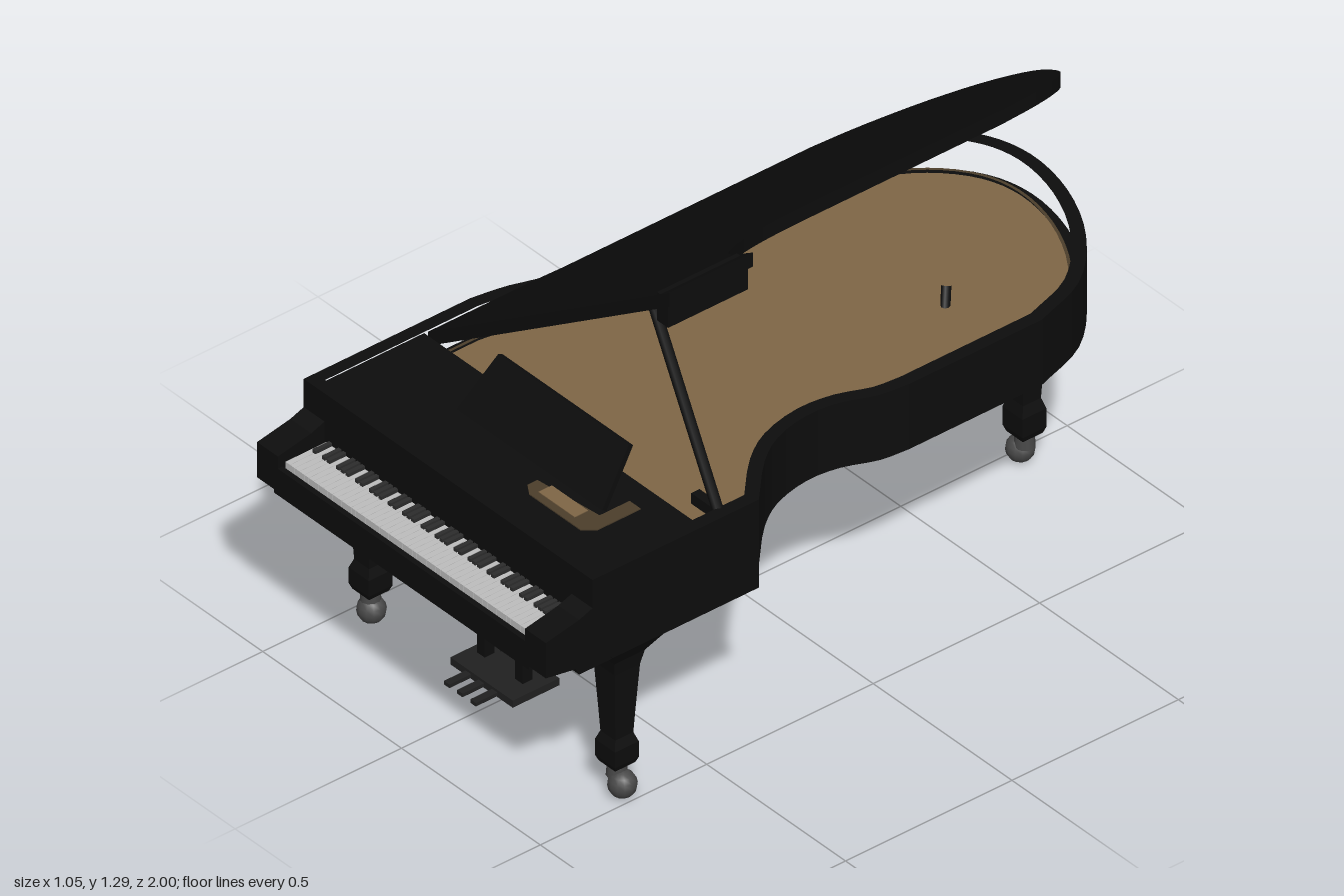
import * as THREE from 'three';

const mat = (name, color) => {
  const m = new THREE.MeshStandardMaterial({ color });
  m.name = name;
  return m;
};

// plan point list (x, z) -> shape whose extrusion rises along +y after laying flat
const planShape = (pts) => new THREE.Shape(pts.map(([x, z]) => new THREE.Vector2(x, -z)));
function slab(shape, y0, y1) {
  const g = new THREE.ExtrudeGeometry(shape, { depth: y1 - y0, bevelEnabled: false });
  return g.rotateX(-Math.PI / 2).translate(0, y0, 0);
}
// smooth curve through a few plan points
const curve = (pts, n) => new THREE.CatmullRomCurve3(pts.map(([x, z]) => new THREE.Vector3(x, 0, z)), false, 'centripetal')
  .getPoints(n).map((p) => [p.x, p.z]);

// inward offset of a closed plan outline
function inset(pts, d) {
  const n = pts.length;
  let area = 0;
  pts.forEach(([x, z], i) => { const q = pts[(i + 1) % n]; area += x * q[1] - q[0] * z; });
  const s = Math.sign(area);
  return pts.map(([x, z], i) => {
    const a = pts[(i + n - 1) % n], b = pts[(i + 1) % n];
    const e1 = new THREE.Vector2(x - a[0], z - a[1]).normalize();
    const e2 = new THREE.Vector2(b[0] - x, b[1] - z).normalize();
    const k = (d * s) / (1 + e1.dot(e2));
    return [x - (e1.y + e2.y) * k, z + (e1.x + e2.x) * k];
  });
}

export function createModel() {
  const root = new THREE.Group();
  root.name = 'grandPiano';
  const black = mat('black lacquer', 0x0d0d0d);
  const wood = mat('soundboard wood', 0x7e6646);
  const darkWood = mat('shaded wood', 0x4c3e2b);
  const ivory = mat('white keys', 0xbdbdbd);
  const ebony = mat('black keys', 0x2c2c2c);
  const metal = mat('caster metal', 0x484848);
  const pedalGrey = mat('pedal grey', 0x202020);

  const add = (name, geo, m, parent = root) => {
    const mesh = new THREE.Mesh(geo, m);
    mesh.name = name;
    parent.add(mesh);
    return mesh;
  };
  const box = (name, x0, x1, y0, y1, z0, z1, m, parent) => add(name,
    new THREE.BoxGeometry(x1 - x0, y1 - y0, z1 - z0)
      .translate((x0 + x1) / 2, (y0 + y1) / 2, (z0 + z1) / 2), m, parent);
  const rod = (name, a, b, r, m, parent) => add(name, new THREE.TubeGeometry(
    new THREE.LineCurve3(new THREE.Vector3(...a), new THREE.Vector3(...b)), 1, r, 8), m, parent);

  // curved case: rim, bottom and soundboard
  const outline = [
    [-0.52, 0.86],
    ...curve([[-0.52, 0.36], [-0.505, 0.27], [-0.475, 0.17], [-0.47, 0.08]], 8),
    ...curve([[-0.47, -0.62], [-0.44, -0.74], [-0.36, -0.88], [-0.25, -0.97], [-0.13, -1], [0.03, -0.975],
      [0.2, -0.89], [0.33, -0.76], [0.39, -0.6]], 32),
    ...curve([[0.39, -0.2], [0.38, -0.12], [0.345, -0.03], [0.335, 0.06], [0.36, 0.17], [0.41, 0.25], [0.52, 0.36]], 18),
    [0.52, 0.86],
  ];
  const inner = inset(outline, 0.035);
  const rim = planShape(outline);
  rim.holes.push(new THREE.Path(inner.map(([x, z]) => new THREE.Vector2(x, -z))));
  add('rim', slab(rim, 0.52, 0.7), black);
  add('caseBottom', slab(planShape(outline), 0.515, 0.59), black);
  add('soundboard', slab(planShape(inset(outline, 0.033)), 0.59, 0.6), wood);
  const lining = planShape(inset(outline, 0.034));
  lining.holes.push(new THREE.Path(inset(outline, 0.042).map(([x, z]) => new THREE.Vector2(x, -z))));
  add('rimLining', slab(lining, 0.6, 0.615), darkWood);
  rod('soundboardPeg', [0.1, 0.59, -0.55], [0.08, 0.64, -0.57], 0.012, black);

  // key bed and front case
  box('keyBed', -0.52, 0.52, 0.45, 0.52, 0.36, 0.9, black);
  box('keySlip', -0.46, 0.46, 0.475, 0.545, 0.86, 1, black);
  box('frontRail', -0.46, 0.46, 0.53, 0.55, 0.985, 1, black);
  box('topCover', -0.488, 0.488, 0.655, 0.694, 0.525, 0.83, black);
  const opening = [[0.13, 0.7], [0.33, 0.68], [0.33, 0.59], [0.37, 0.59], [0.37, 0.72], [0.345, 0.75], [0.16, 0.75], [0.13, 0.73]];
  add('deskRecess', slab(planShape(opening), 0.692, 0.697), darkWood);
  box('deskRecessWood', 0.17, 0.3, 0.695, 0.699, 0.69, 0.73, wood);

  // cheeks beside the keyboard
  const side = new THREE.Shape([[0.84, 0.46], [0.9, 0.45], [0.91, 0.47], [1, 0.485], [1, 0.585], [0.9, 0.605], [0.86, 0.62], [0.84, 0.62]]
    .map(([z, y]) => new THREE.Vector2(z, y)));
  for (const x of [-0.445, 0.52]) {
    add('cheek', new THREE.ExtrudeGeometry(side, { depth: 0.075, bevelEnabled: false })
      .rotateY(-Math.PI / 2).translate(x, 0, 0), black);
  }

  // keyboard: 52 white keys, black keys in groups of two and three
  const keys = new THREE.Group();
  keys.name = 'keyboard';
  root.add(keys);
  const pitch = 0.88 / 52;
  for (let i = 0; i < 52; i++) {
    const x = -0.44 + i * pitch;
    box('whiteKey', x + 0.0005, x + pitch - 0.0005, 0.545, 0.565, 0.86, 0.982, ivory, keys);
    if (i < 51 && ![1, 4].includes(i % 7)) {
      box('blackKey', x + pitch * 0.68, x + pitch * 1.32, 0.56, 0.574, 0.86, 0.91, ebony, keys);
    }
  }

  // raised lid, sheared up from its hinge on the straight side
  const lidPlan = [
    [-0.48, 0.52], [-0.48, 0.2], [-0.47, 0.12],
    ...curve([[-0.47, -0.62], [-0.44, -0.74], [-0.36, -0.88], [-0.25, -0.97], [-0.13, -1], [-0.03, -0.98],
      [0.06, -0.93], [0.12, -0.82], [0.15, -0.68]], 28),
    ...curve([[0.15, -0.1], [0.155, 0], [0.18, 0.11], [0.23, 0.2], [0.28, 0.25], [0.39, 0.27]], 14),
    [0.39, 0.52],
  ];
  const lidGeo = slab(planShape(lidPlan), -0.04, 0);
  const lp = lidGeo.attributes.position;
  for (let i = 0; i < lp.count; i++) lp.setY(i, lp.getY(i) + 0.7 + (lp.getX(i) + 0.48) * 0.675);
  lidGeo.computeVertexNormals();
  add('lid', lidGeo, black);
  box('lidLip', 0.345, 0.385, 1.185, 1.265, 0.28, 0.52, black);
  rod('lidProp', [0.24, 1.16, 0.45], [0.48, 0.69, 0.45], 0.014, black);
  box('propRest', 0.39, 0.5, 0.66, 0.69, 0.43, 0.455, black);

  // music desk leaning back
  const desk = new THREE.Shape([[-0.2, 0], [0.325, 0], [0.325, 0.17], [-0.145, 0.17]].map(([x, y]) => new THREE.Vector2(x, y)));
  add('musicDesk', new THREE.ExtrudeGeometry(desk, { depth: 0.015, bevelEnabled: false })
    .rotateX(-0.49).translate(0, 0.695, 0.655), black);

  // square tapered legs with casters: [half width, height]
  const profile = [[0, 0.09], [0.03, 0.09], [0.036, 0.105], [0.036, 0.15], [0.027, 0.175], [0.031, 0.25],
    [0.038, 0.37], [0.046, 0.41], [0.065, 0.44], [0.078, 0.46]];
  const makeLeg = (name, x, z, stretch, casterX) => {
    const leg = new THREE.Group();
    leg.name = name;
    root.add(leg);
    const pts = profile.map(([r, y]) => new THREE.Vector2(r * Math.SQRT2, 0.09 + (y - 0.09) * stretch));
    const g = new THREE.LatheGeometry(pts, 4).rotateY(Math.PI / 4).toNonIndexed();
    g.computeVertexNormals();
    add('post', g.translate(x, 0, z), black, leg);
    add('casterWheel', new THREE.SphereGeometry(0.036, 12, 8).translate(casterX, 0.038, z), metal, leg);
    add('casterFork', new THREE.CylinderGeometry(0.022, 0.026, 0.05, 10).translate(x, 0.078, z), metal, leg);
  };
  makeLeg('frontLegRight', -0.435, 0.73, 1, -0.432);
  makeLeg('frontLegLeft', 0.452, 0.73, 1, 0.472);
  makeLeg('rearLeg', 0.05, -0.83, 1.16, 0.035);

  // pedal lyre
  const lyre = new THREE.Group();
  lyre.name = 'pedalLyre';
  root.add(lyre);
  box('pedalBox', -0.1, 0.125, 0.08, 0.1, 0.63, 0.77, pedalGrey, lyre);
  for (const x of [-0.062, 0.075]) {
    box('lyrePost', x - 0.014, x + 0.014, 0.09, 0.46, 0.68, 0.71, black, lyre);
    rod('lyreBrace', [x * 0.7, 0.09, 0.66], [x * 0.7, 0.46, 0.45], 0.01, black, lyre);
  }
  for (const x of [-0.035, 0.012, 0.06]) {
    box('pedal', x - 0.01, x + 0.01, 0.083, 0.093, 0.76, 0.835, pedalGrey, lyre);
  }
  rod('pedalLever', [0.012, 0.085, 0.67], [0.012, 0.065, 0.595], 0.01, pedalGrey, lyre);
  return root;
}
